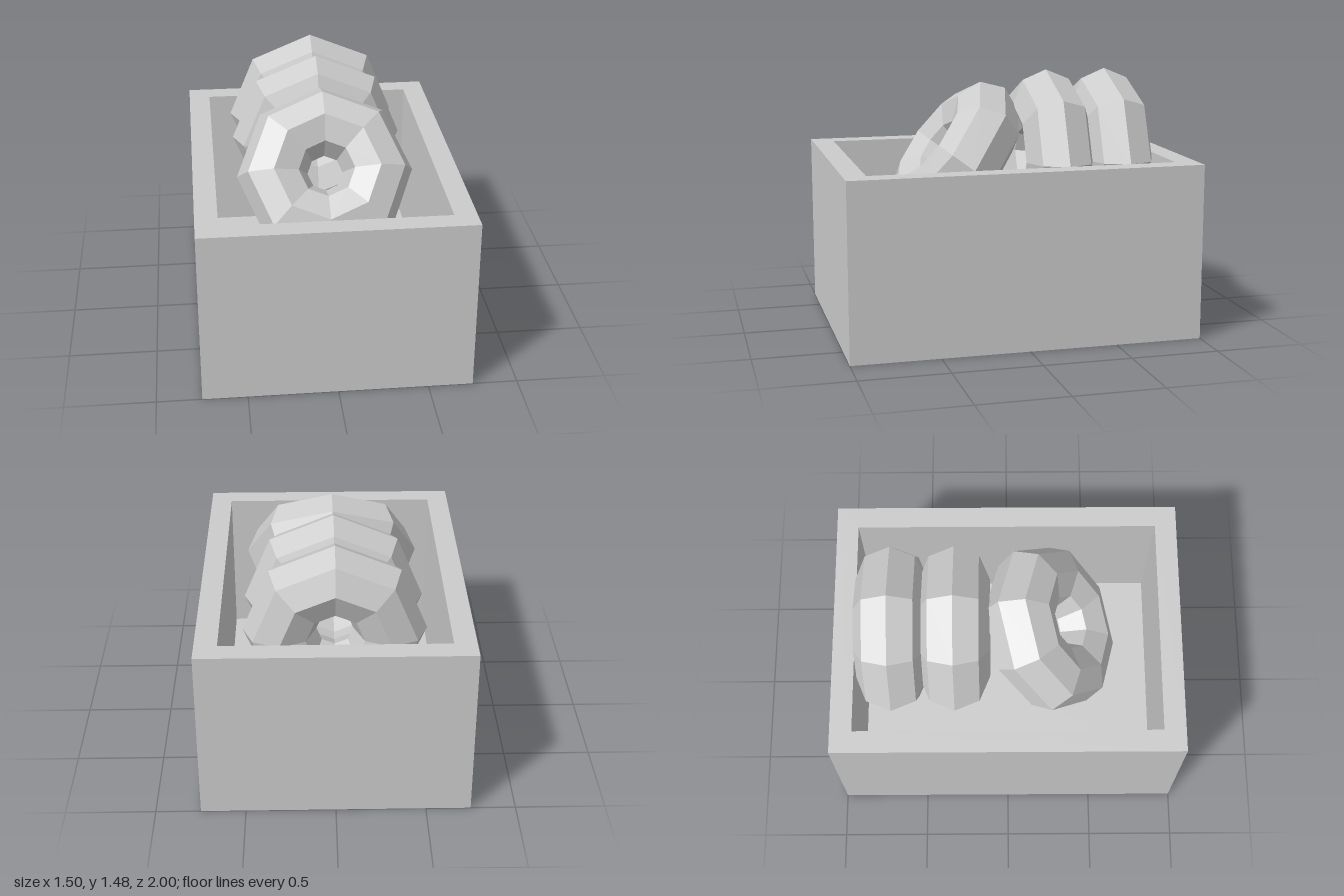
import * as THREE from 'three';

const WIDTH = 1.5, HEIGHT = 1, DEPTH = 2, WALL = 0.125;

function rectangle(PathType, w, d) {
  const p = new PathType();
  p.moveTo(-w / 2, -d / 2);
  p.lineTo(w / 2, -d / 2);
  p.lineTo(w / 2, d / 2);
  p.lineTo(-w / 2, d / 2);
  p.closePath();
  return p;
}

export function createModel() {
  const model = new THREE.Group();
  model.name = 'boxOfRings';
  const material = new THREE.MeshStandardMaterial({ color: 0xcccccc, flatShading: true });
  const add = (parent, name, geometry) => {
    const mesh = new THREE.Mesh(geometry, material);
    mesh.name = name;
    parent.add(mesh);
    return mesh;
  };

  // Open-topped box: a rectangular wall ring with a floor set inside it
  const box = new THREE.Group();
  box.name = 'box';
  model.add(box);
  const innerWidth = WIDTH - 2 * WALL, innerDepth = DEPTH - 2 * WALL;
  const outline = rectangle(THREE.Shape, WIDTH, DEPTH);
  outline.holes.push(rectangle(THREE.Path, innerWidth, innerDepth));
  const walls = new THREE.ExtrudeGeometry(outline, { depth: HEIGHT, bevelEnabled: false });
  walls.rotateX(-Math.PI / 2);
  add(box, 'boxWalls', walls);
  add(box, 'boxFloor', new THREE.BoxGeometry(innerWidth, WALL, innerDepth)).position.y = WALL / 2;

  // Low-poly doughnuts: two upright, the front one leaning back
  const ringGeometry = new THREE.TorusGeometry(0.3, 0.2, 8, 8);
  const rings = [
    ['backDoughnut', -0.66, 0],
    ['middleDoughnut', -0.3, 0],
    ['frontDoughnut', 0.25, -0.645],
  ];
  for (const [name, z, tilt] of rings) {
    const ring = add(model, name, ringGeometry);
    ring.position.set(0, 0.975, z);
    ring.rotation.x = tilt;
  }
  return model;
}
